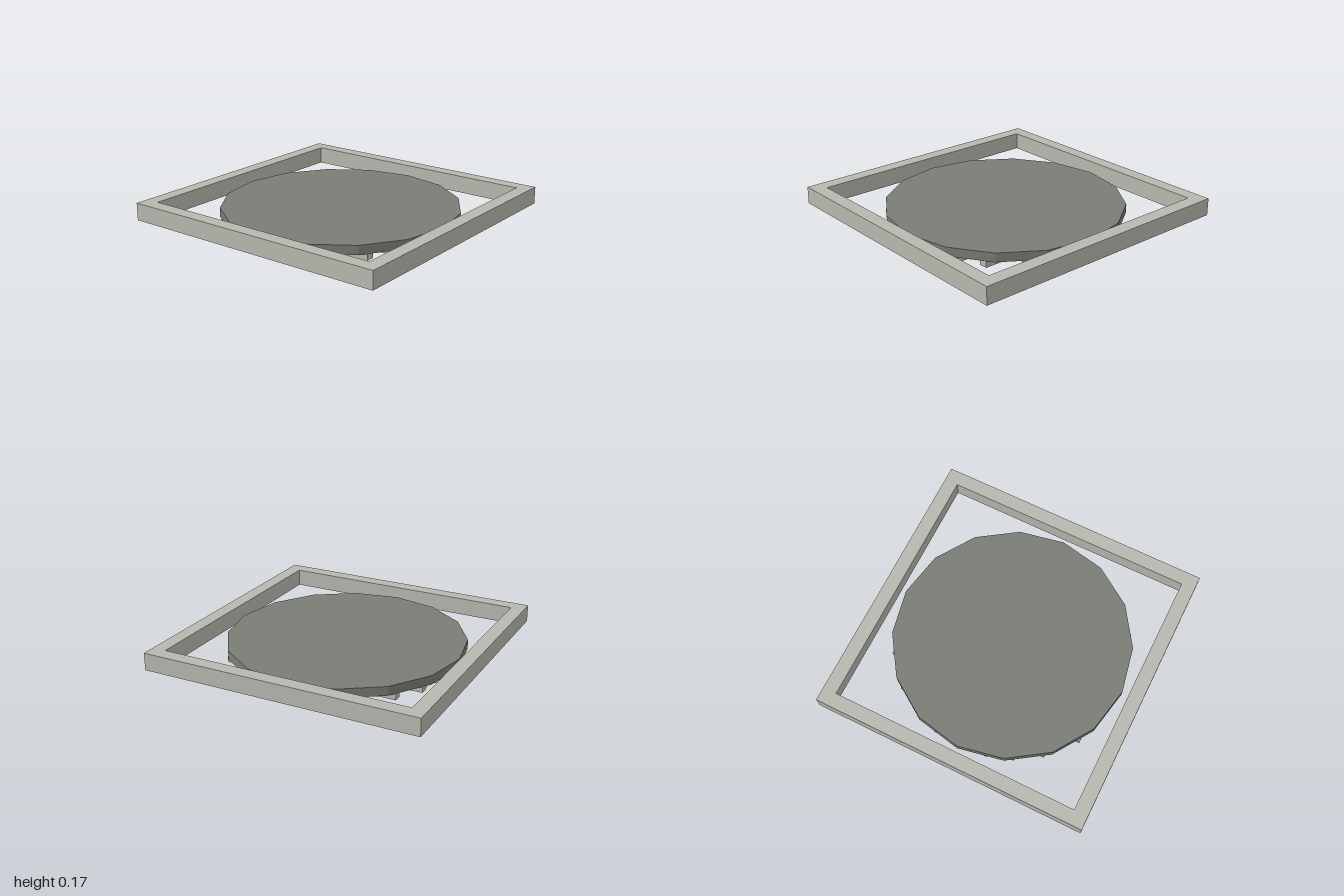
import * as THREE from 'three';

export function createModel() {
  const group = new THREE.Group();
  const paleStone = new THREE.MeshStandardMaterial({ color: 0xb8b8b0 });
  paleStone.name = 'pale grey';
  const darkGrey = new THREE.MeshStandardMaterial({ color: 0x7a7d75, flatShading: true });
  darkGrey.name = 'dark grey';

  const add = (name, geometry, material, x, y, z) => {
    const mesh = new THREE.Mesh(geometry, material);
    mesh.name = name;
    mesh.position.set(x, y, z);
    group.add(mesh);
    return mesh;
  };

  const ribHeight = 0.045;

  // Square frame with an open centre
  const square = (path, h) => path.moveTo(-h, -h).lineTo(h, -h).lineTo(h, h).lineTo(-h, h).closePath();
  const outline = square(new THREE.Shape(), 1);
  outline.holes.push(square(new THREE.Path(), 0.9));
  const frameGeometry = new THREE.ExtrudeGeometry(outline, { depth: 0.125, bevelEnabled: false });
  frameGeometry.rotateX(-Math.PI / 2);
  add('frame', frameGeometry, paleStone, 0, ribHeight, 0);

  // Sixteen-sided plate inside the frame
  const plateHeight = 0.065;
  add('plate', new THREE.CylinderGeometry(0.85, 0.85, plateHeight, 16), darkGrey,
    0, ribHeight + plateHeight / 2, 0);

  // Parallel ribs under the plate, each cut to the length of its chord
  for (let i = -4; i <= 4; i++) {
    const z = i * 0.175;
    const length = 2 * Math.sqrt(0.825 ** 2 - z ** 2);
    add('rib', new THREE.BoxGeometry(length, ribHeight, 0.06), paleStone, 0, ribHeight / 2, z);
  }
  return group;
}
